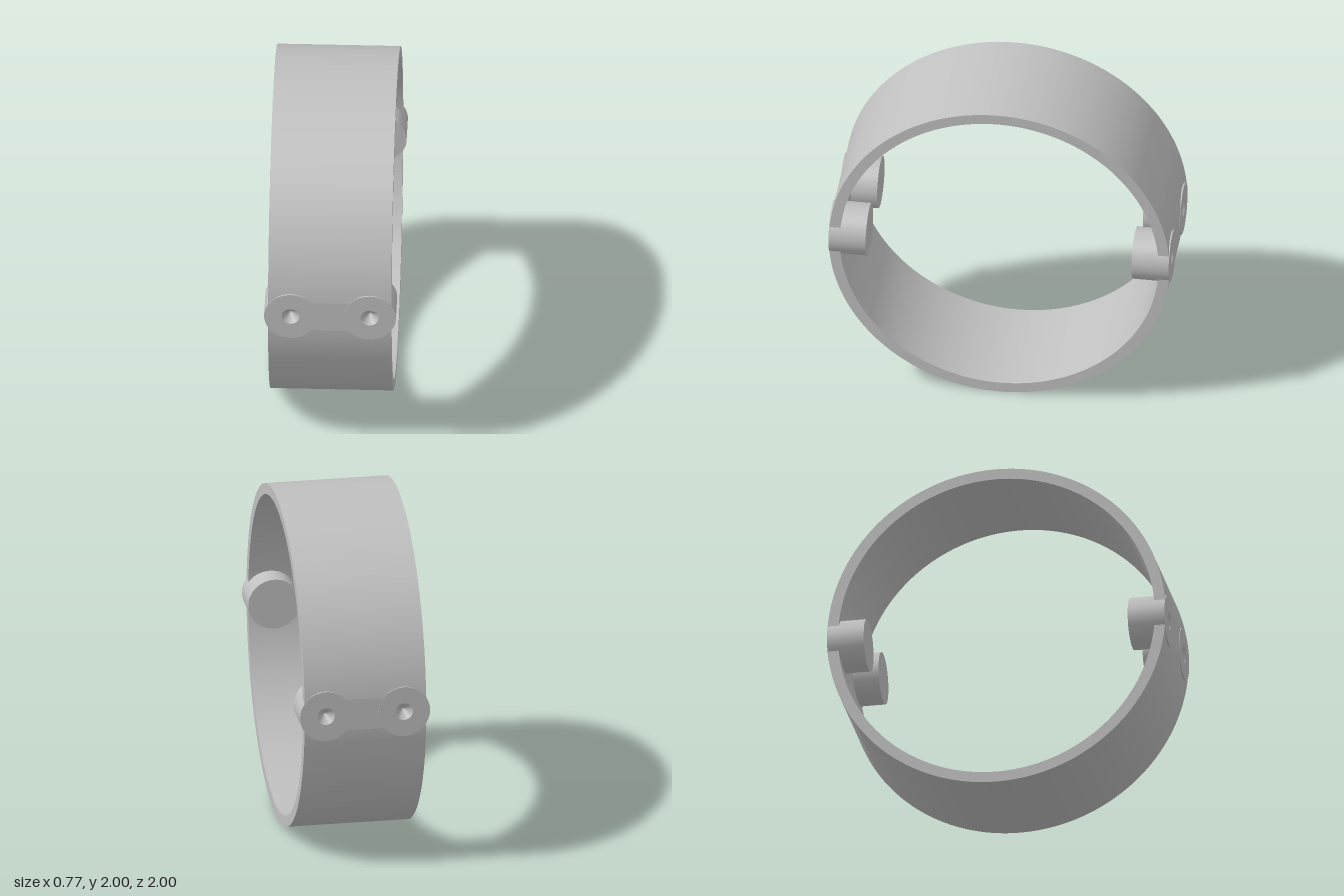
import * as THREE from 'three';
import { toCreasedNormals } from 'three/addons/utils/BufferGeometryUtils.js';

const R = 1.0, RI = 0.936;      // band radii
const X0 = -0.36, WIDTH = 0.716; // band extent along x
const FLAT = 0.095;             // half height of the flats at front and back
const PEG_X = 0.23;

export function createModel() {
  const group = new THREE.Group();
  const grey = new THREE.MeshStandardMaterial({ color: 0xc0c0c0 });
  grey.name = 'plain grey';

  const add = (geometry, name, parent) => {
    const mesh = new THREE.Mesh(geometry, grey);
    mesh.name = name;
    parent.add(mesh);
    return mesh;
  };

  // Upper and lower halves of the band
  const a = Math.asin(FLAT / R);
  const arc = new THREE.Shape();
  arc.absarc(0, 0, R, a, Math.PI - a, false);
  arc.absarc(0, 0, RI, Math.PI - a, a, true);
  arc.closePath();
  let half = new THREE.ExtrudeGeometry(arc, { depth: WIDTH, bevelEnabled: false, curveSegments: 90 });
  half.rotateY(Math.PI / 2).translate(X0, 0, 0);
  half = toCreasedNormals(half, 0.5);
  add(half, 'upperBand', group).position.y = 1;
  const lower = add(half, 'lowerBand', group);
  lower.position.y = 1;
  lower.rotation.x = Math.PI;

  // Flat strip joining the halves, pierced where the peg holes are
  const strip = new THREE.Shape();
  strip.moveTo(X0, -FLAT);
  strip.lineTo(X0 + WIDTH, -FLAT);
  strip.lineTo(X0 + WIDTH, FLAT);
  strip.lineTo(X0, FLAT);
  strip.closePath();
  for (const s of [-1, 1]) {
    strip.holes.push(new THREE.Path().absarc(s * PEG_X, 0, 0.052, 0, Math.PI * 2, true));
  }
  const front = R * Math.cos(a), back = RI * Math.cos(a);
  const stripGeo = new THREE.ExtrudeGeometry(strip, { depth: front - back, bevelEnabled: false, curveSegments: 24 });
  stripGeo.translate(0, 0, back);

  // Round peg with a conical dimple in its outer face
  const profile = [[0, -0.218], [0.153, -0.218], [0.153, 0], [0.052, 0], [0, -0.055]]
    .map(([r, y]) => new THREE.Vector2(r, y));
  let peg = new THREE.LatheGeometry(profile, 48);
  peg.rotateX(Math.PI / 2);
  peg = toCreasedNormals(peg, 0.5);

  for (const [side, turn] of [['front', 0], ['back', Math.PI]]) {
    const mount = new THREE.Group();
    mount.name = side + 'Mount';
    mount.position.y = 1;
    mount.rotation.y = turn;
    const joint = add(stripGeo, side + 'Strip', mount);
    // keep the strip aligned with the band edges after the turn
    if (turn) joint.position.x = -(2 * X0 + WIDTH);
    for (const s of [-1, 1]) {
      add(peg, side + (s * Math.cos(turn) > 0 ? 'LeftPeg' : 'RightPeg'), mount)
        .position.set(s * PEG_X, 0, 0.998);
    }
    group.add(mount);
  }
  return group;
}
